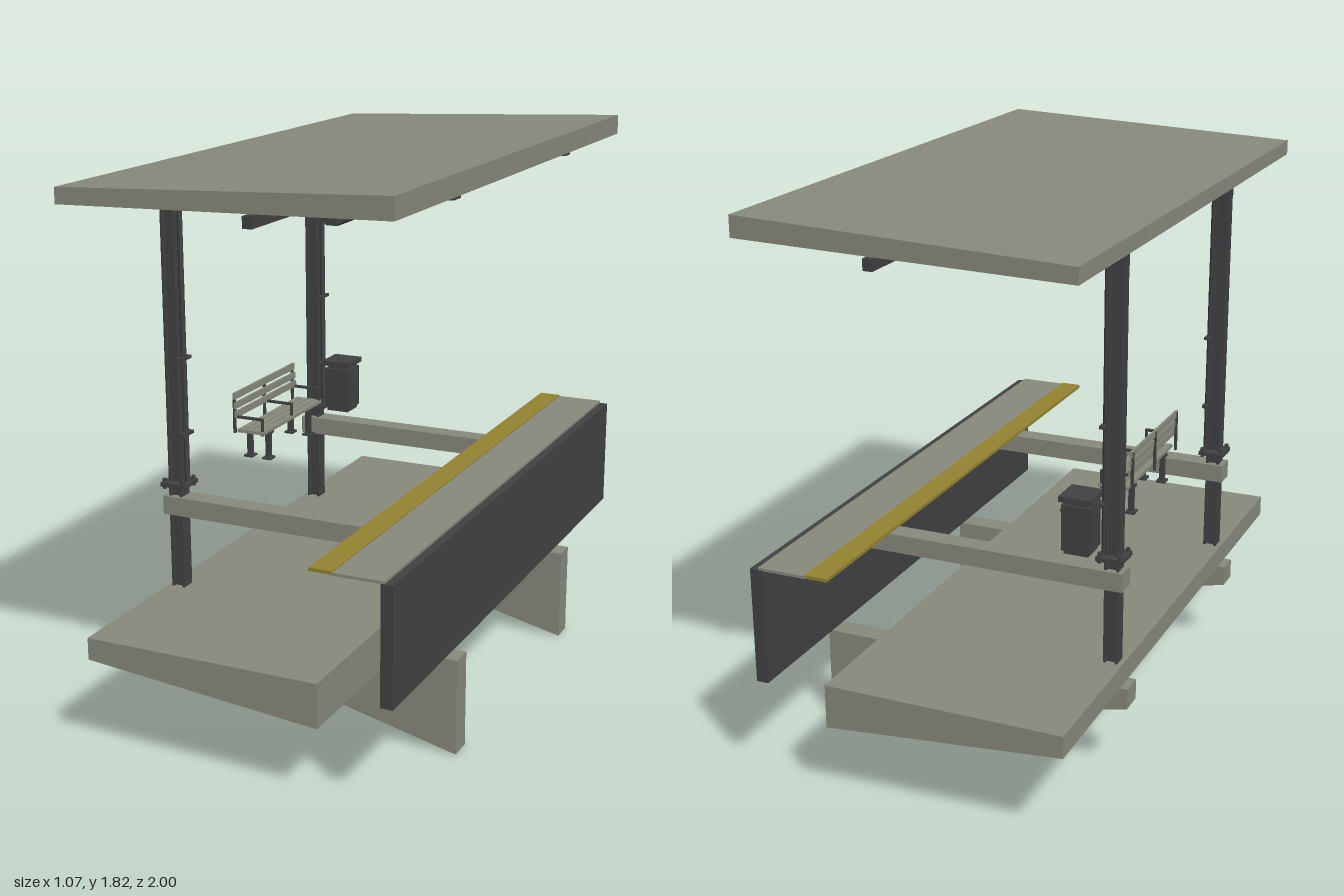
import * as THREE from 'three';

const mat = (name, color) => {
  const m = new THREE.MeshStandardMaterial({ color });
  m.name = name;
  return m;
};

export function createModel() {
  const concrete = mat('concrete', 0x898a7d);
  const steel = mat('dark steel', 0x424244);
  const yellow = mat('safety yellow', 0x948331);
  const model = new THREE.Group();
  model.name = 'platformShelter';

  const add = (parent, name, geometry, material) => {
    const mesh = new THREE.Mesh(geometry, material);
    mesh.name = name;
    parent.add(mesh);
    return mesh;
  };
  // Box given by its lower and upper limits on each axis
  const box = (parent, name, material, [x0, x1], [y0, y1], [z0, z1]) => {
    const mesh = add(parent, name, new THREE.BoxGeometry(x1 - x0, y1 - y0, z1 - z0), material);
    mesh.position.set((x0 + x1) / 2, (y0 + y1) / 2, (z0 + z1) / 2);
    return mesh;
  };
  // Side profile in x and y, extruded along z around zc
  const profile = (parent, name, material, points, width, zc = 0) => {
    const shape = new THREE.Shape(points.map(([x, y]) => new THREE.Vector2(x, y)));
    const g = new THREE.ExtrudeGeometry(shape, { depth: width, bevelEnabled: false });
    g.translate(0, 0, zc - width / 2);
    return add(parent, name, g, material);
  };
  const rod = (parent, name, material, x, z, y0, y1, r, sides = 10) => {
    const mesh = add(parent, name, new THREE.CylinderGeometry(r, r, y1 - y0, sides), material);
    mesh.position.set(x, (y0 + y1) / 2, z);
    return mesh;
  };
  const group = (name, z = 0) => {
    const g = new THREE.Group();
    g.name = name;
    g.position.z = z;
    model.add(g);
    return g;
  };

  // Full-length slabs
  profile(model, 'roof', concrete, [[-0.537, 1.725], [0.522, 1.753], [0.522, 1.82], [-0.537, 1.775]], 2);
  profile(model, 'foundationSlab', concrete, [[-0.5, 0.318], [0.283, 0.246], [0.283, 0.39], [-0.5, 0.39]], 2);
  box(model, 'edgeWall', steel, [0.484, 0.524], [0.355, 0.735], [-1, 1]);
  box(model, 'platformEdge', concrete, [0.335, 0.496], [0.734, 0.743], [-1, 1]);
  box(model, 'warningStrip', yellow, [0.26, 0.335], [0.736, 0.747], [-1, 1]);
  box(model, 'cableRail', steel, [0.07, 0.1], [1.7, 1.735], [-1, 1]);

  // Two structural bays
  for (const z of [0.5, -0.5]) {
    const bay = group('frameBay', z);
    profile(bay, 'footing', concrete, [[-0.525, 0.25], [0.535, 0], [0.535, 0.318], [-0.525, 0.318]], 0.077);
    box(bay, 'crossBeam', concrete, [-0.5, 0.484], [0.642, 0.704], [-0.035, 0.035]);
    profile(bay, 'roofBeam', steel, [[-0.485, 1.652], [-0.43, 1.655], [0.5, 1.736], [0.5, 1.752], [-0.485, 1.727]], 0.046);

    // H-section post
    box(bay, 'postWeb', steel, [-0.476, -0.444], [0.39, 1.7], [-0.012, 0.012]);
    for (const x of [-0.483, -0.445])
      box(bay, 'postFlange', steel, [x, x + 0.008], [0.39, 1.7], [-0.025, 0.025]);

    // Base collar with bolts
    box(bay, 'baseCollar', steel, [-0.503, -0.415], [0.738, 0.752], [-0.045, 0.045]);
    for (const x of [-0.493, -0.425])
      for (const bz of [-0.034, 0.034])
        rod(bay, 'collarBolt', steel, x, bz, 0.73, 0.764, 0.007, 6);

    // Downpipe and clips
    rod(bay, 'downpipe', steel, -0.427, 0, 0.75, 1.66, 0.009);
    for (const y of [0.915, 1.165])
      box(bay, 'pipeClip', steel, [-0.437, -0.417], [y - 0.005, y + 0.005], [-0.032, 0.032]);

    // Hanging lamp
    const lamp = new THREE.Group();
    lamp.name = 'lamp';
    bay.add(lamp);
    box(lamp, 'lampHousing', steel, [0.13, 0.187], [1.664, 1.684], [-0.152, 0.152]);
    profile(lamp, 'lampDiffuser', steel, [[0.14, 1.654], [0.177, 1.654], [0.184, 1.664], [0.133, 1.664]], 0.25);
    for (const s of [-0.113, 0.113])
      rod(lamp, 'lampStem', steel, 0.158, s, 1.68, 1.75, 0.005, 8);
  }

  // Bench
  const bench = group('bench');
  for (let i = 0; i < 4; i++)
    box(bench, 'seatSlat', concrete, [-0.395 + i * 0.026, -0.374 + i * 0.026], [0.845, 0.856], [-0.22, 0.22]);
  [[0.895, 0.917], [0.925, 0.947], [0.957, 0.98]].forEach((y, i) =>
    box(bench, 'backSlat', concrete, [-0.405 - i * 0.003, -0.397 - i * 0.003], y, [-0.22, 0.22]));
  for (const z of [-0.15, 0.15]) {
    box(bench, 'seatBearer', steel, [-0.4, -0.297], [0.836, 0.845], [z - 0.008, z + 0.008]);
    for (const x of [-0.385, -0.315]) {
      box(bench, 'benchLeg', steel, [x - 0.008, x + 0.008], [0.745, 0.838], [z - 0.009, z + 0.009]);
      box(bench, 'benchFoot', steel, [x - 0.016, x + 0.016], [0.743, 0.75], [z - 0.018, z + 0.018]);
    }
  }
  for (const z of [-0.212, 0, 0.212]) {
    box(bench, 'armRest', steel, [-0.405, -0.3], [0.893, 0.901], [z - 0.005, z + 0.005]);
    box(bench, 'armPost', steel, [-0.308, -0.3], [0.84, 0.895], [z - 0.004, z + 0.004]);
    box(bench, 'backPost', steel, [-0.413, -0.405], [0.84, 0.975], [z - 0.005, z + 0.005]);
  }

  // Litter bin
  const bin = group('litterBin', -0.5);
  box(bin, 'binPlinth', steel, [-0.39, -0.308], [0.743, 0.755], [-0.04, 0.04]);
  box(bin, 'binBody', steel, [-0.396, -0.302], [0.755, 0.905], [-0.046, 0.046]);
  box(bin, 'binThroat', steel, [-0.387, -0.311], [0.905, 0.918], [-0.037, 0.037]);
  box(bin, 'binLid', steel, [-0.402, -0.296], [0.917, 0.935], [-0.055, 0.055]);
  box(bin, 'binDoor', steel, [-0.302, -0.298], [0.765, 0.87], [-0.036, 0.036]);
  box(bin, 'binHandle', steel, [-0.302, -0.293], [0.876, 0.884], [-0.03, 0.03]);

  return model;
}
